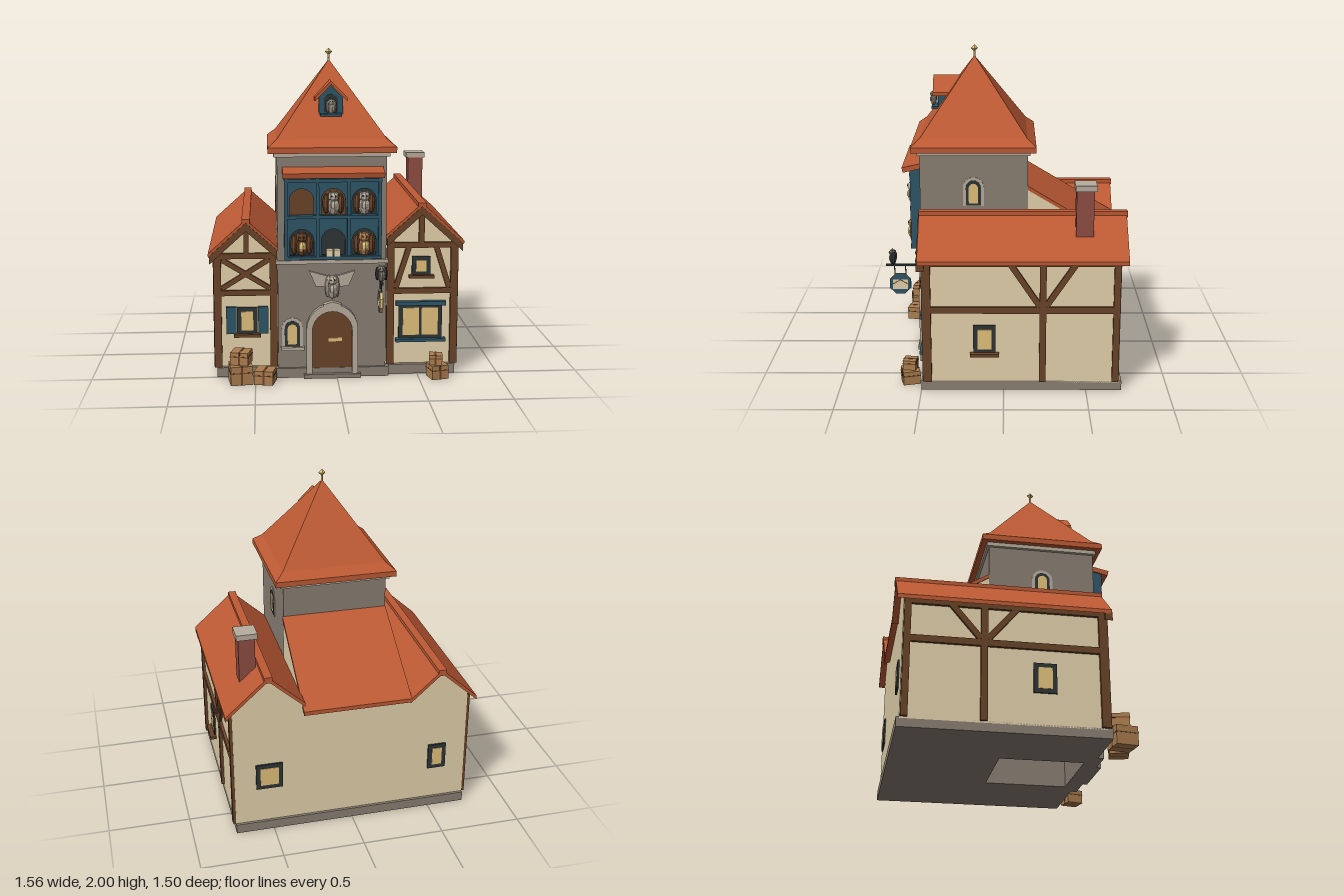
import * as THREE from 'three';

const mat = (name, color) => Object.assign(new THREE.MeshStandardMaterial({ color }), { name });
const M = {
  roof: mat('roof tile', 0xbd5a34), plaster: mat('plaster', 0xe4d2ab), timber: mat('timber', 0x6a4428),
  stone: mat('wall stone', 0x8a7f73), pale: mat('pale stone', 0xb8ad9d), teal: mat('teal paint', 0x2f5668),
  dark: mat('dark frame', 0x2e3536), gold: mat('lit glass', 0xe3c27c), brick: mat('brick', 0x8f4e42),
  crate: mat('crate wood', 0xab7d4e),
};

function add(parent, name, geo, m, x = 0, y = 0, z = 0) {
  const mesh = new THREE.Mesh(geo, m);
  mesh.name = name;
  mesh.position.set(x, y, z);
  parent.add(mesh);
  return mesh;
}
function group(parent, name, x = 0, y = 0, z = 0, ry = 0) {
  const g = new THREE.Group();
  g.name = name;
  g.position.set(x, y, z);
  g.rotation.y = ry;
  parent.add(g);
  return g;
}
// Box given by its limits on each axis
const block = (p, name, m, x0, x1, y0, y1, z0, z1) =>
  add(p, name, new THREE.BoxGeometry(x1 - x0, y1 - y0, z1 - z0), m, (x0 + x1) / 2, (y0 + y1) / 2, (z0 + z1) / 2);
function flat(geo) {
  const g = geo.toNonIndexed();
  g.computeVertexNormals();
  return g;
}
const poly = pts => new THREE.Shape(pts.map(p => new THREE.Vector2(...p)));
const rect = (x0, x1, y0, y1) => poly([[x0, y0], [x1, y0], [x1, y1], [x0, y1]]);
const extrude = (shape, depth) => new THREE.ExtrudeGeometry(shape, { depth, bevelEnabled: false, curveSegments: 6 });
// Upright ring wall from y = 0, with a rectangular hollow over the tower interior
function hollow(x0, x1, z0, z1, h) {
  const s = rect(x0, x1, -z1, -z0);
  s.holes.push(rect(-0.28, 0.22, -0.44, 0.07));
  return extrude(s, h).rotateX(-Math.PI / 2);
}
// Round-topped outline standing on (x, y)
function arch(w, h, x = 0, y = 0, Type = THREE.Shape) {
  const r = w / 2, s = new Type();
  s.moveTo(x - r, y);
  s.lineTo(x + r, y);
  s.lineTo(x + r, y + h - r);
  s.absarc(x, y + h - r, r, 0, Math.PI, false);
  s.lineTo(x - r, y);
  return s;
}
// Timber laid on a facade between two points
function beam(p, x1, y1, x2, y2, w = 0.04) {
  const b = add(p, 'timberBeam', new THREE.BoxGeometry(Math.hypot(x2 - x1, y2 - y1), w, 0.022), M.timber,
    (x1 + x2) / 2, (y1 + y2) / 2, 0.007);
  b.rotation.z = Math.atan2(y2 - y1, x2 - x1);
}
// Framed window with evenly divided panes, centred on (x, y)
function windowUnit(p, x, y, w, h, panes = 1, sill = M.timber) {
  const g = group(p, 'window', x, y, 0), f = 0.026, pw = (w - f * 2 - (panes - 1) * 0.016) / panes;
  block(g, 'windowFrame', M.dark, -w / 2, w / 2, -h / 2, h / 2, -0.01, 0.01);
  for (let i = 0; i < panes; i++) {
    const x0 = -w / 2 + f + i * (pw + 0.016);
    block(g, 'pane', M.gold, x0, x0 + pw, -h / 2 + f, h / 2 - f, 0.009, 0.013);
  }
  if (sill) block(g, 'sill', sill, -w / 2 - 0.02, w / 2 + 0.02, -h / 2 - 0.012, -h / 2 + 0.006, 0, 0.04);
}
// Arched stone window standing on its own base line
function archWindow(p, x, y, z, ry) {
  const g = group(p, 'archedWindow', x, y, z, ry);
  add(g, 'stoneSurround', extrude(arch(0.13, 0.185), 0.004), M.pale);
  add(g, 'frame', extrude(arch(0.094, 0.16, 0, 0.006), 0.002), M.dark, 0, 0, 0.004);
  add(g, 'pane', extrude(arch(0.058, 0.126, 0, 0.02), 0.002), M.gold, 0, 0, 0.006);
}
// Small faceted owl, one unit tall before scaling
function owl(p, x, y, z, s, body, wing, face = body, spread = 0.25) {
  const g = group(p, 'owl', x, y, z);
  g.scale.setScalar(s);
  const part = (name, m, r, px, py, pz, sx, sy, sz) =>
    add(g, name, flat(new THREE.SphereGeometry(r, 7, 5)), m, px, py, pz).scale.set(sx, sy, sz);
  part('body', body, 0.5, 0, 0.38, 0, 0.5, 0.78, 0.45);
  part('head', body, 0.5, 0, 0.77, 0.03, 0.44, 0.42, 0.42);
  part('belly', face, 0.5, 0, 0.42, 0.1, 0.32, 0.45, 0.33);
  for (const k of [-1, 1]) {
    part('wing', wing, 0.5, k * spread, 0.48, -0.06, spread, 0.86, 0.4);
    add(g, 'ear', flat(new THREE.ConeGeometry(0.08, 0.18, 4)), body, k * 0.14, 0.96, 0.03);
    part('eye', M.dark, 0.04, k * 0.08, 0.82, 0.22, 1, 1, 0.6);
  }
}
// Gabled roof cross-section
const chevron = (cx, top, x0, x1, k, t) => poly([
  [x0, top - k * (cx - x0) - t], [cx, top - t], [x1, top - k * (x1 - cx) - t],
  [x1, top - k * (x1 - cx)], [cx, top], [x0, top - k * (cx - x0)]]);

// Side wing: gabled plaster body, tiled roof and front barge boards
function wing(root, name, w0, w1, r0, r1, cx, top) {
  const g = group(root, name), t = 0.026, k = 0.9, yAt = x => top - k * Math.abs(x - cx) - t + 0.008;
  add(g, 'plasterWalls', extrude(poly([[w0, 0.05], [w1, 0.05], [w1, yAt(w1)], [cx, yAt(cx)], [w0, yAt(w0)]]), 1.17), M.plaster, 0, 0, -0.7);
  add(g, 'wingRoof', extrude(chevron(cx, top, r0, r1, k, t), 1.25), M.roof, 0, 0, -0.74);
  add(g, 'bargeBoards', extrude(chevron(cx, top - 0.02, r0 + 0.008, r1 - 0.008, k, 0.052), 0.045), M.timber, 0, 0, 0.471);
  block(g, 'ridgeCap', M.roof, cx - 0.025, cx + 0.025, top - 0.035, top + 0.002, -0.745, 0.512);
}
// Timber framing of a side wall; u runs along the wall
function sideFrame(root, x, ry, sign, top, sill) {
  const g = group(root, 'sideFraming', x, 0, 0, ry);
  const u = z => z * sign;
  for (const z of [0.455, -0.235, -0.676]) beam(g, u(z), 0.06, u(z), top);
  beam(g, u(0.47), 0.525, u(-0.69), 0.525);
  beam(g, u(0.47), top - 0.01, u(-0.69), top - 0.01);
  for (const k of [-1, 1]) beam(g, u(-0.235 + k * 0.02), 0.55, u(-0.235 + k * 0.205), top, 0.035);
  windowUnit(g, u(0.115), 0.335, 0.135, 0.18, 1, sill);
}
function crate(p, x, y, z, s, h, ry) {
  const g = group(p, 'crate', x, y, z, ry);
  block(g, 'crateBox', M.crate, -s / 2, s / 2, 0, h, -s / 2, s / 2);
  block(g, 'strap', M.timber, -0.006, 0.006, 0, h + 0.002, -s / 2 - 0.002, s / 2 + 0.002);
  block(g, 'crossStrap', M.timber, -s / 2 - 0.002, s / 2 + 0.002, h * 0.62, h * 0.62 + 0.006, -s / 2 - 0.002, s / 2 + 0.002);
}

export function createModel() {
  const root = new THREE.Group();
  root.name = 'townHouse';

  // Plinth and wings
  add(root, 'plinth', hollow(-0.735, 0.735, -0.717, 0.5, 0.06), M.stone);
  wing(root, 'leftWing', -0.735, -0.35, -0.78, -0.355, -0.55, 0.986);
  wing(root, 'rightWing', 0.305, 0.735, 0.3, 0.78, 0.52, 1.076);

  // Lean-to between the wings, profiled along the depth and extruded across
  const across = (pts, w) => extrude(poly(pts.map(([z, y]) => [-z, y])), w).rotateY(Math.PI / 2);
  add(root, 'rearWalls', across([[-0.7, 0.05], [-0.15, 0.05], [-0.15, 1.145], [-0.7, 0.815]], 0.66), M.plaster, -0.355);
  add(root, 'rearRoof', across([[-0.74, 0.791], [-0.15, 1.145], [-0.15, 1.17], [-0.74, 0.816]], 0.67), M.roof, -0.362);

  // Timber framing
  sideFrame(root, 0.735, Math.PI / 2, -1, 0.83, M.timber);
  sideFrame(root, -0.735, -Math.PI / 2, 1, 0.77, null);
  const front = group(root, 'frontFraming', 0, 0, 0.472);
  for (const [x, t] of [[-0.727, 0.77], [-0.385, 0.79], [0.332, 0.85], [0.727, 0.83]]) beam(front, x, 0.06, x, t, 0.046);
  for (const [x0, x1, y] of [[-0.74, -0.37, 0.527], [-0.74, -0.37, 0.757], [0.31, 0.74, 0.525], [0.31, 0.74, 0.812]]) beam(front, x0, y, x1, y, 0.034);
  beam(front, -0.7, 0.555, -0.41, 0.735, 0.03);
  beam(front, -0.7, 0.735, -0.41, 0.555, 0.03);
  for (const k of [-1, 1]) beam(front, 0.53 + k * 0.165, 0.545, 0.53 + k * 0.085, 0.8, 0.032);
  beam(front, -0.55, 0.77, -0.55, 0.92, 0.03);
  beam(front, 0.522, 0.82, 0.522, 1.0, 0.034);

  // Wing windows
  windowUnit(front, -0.548, 0.35, 0.125, 0.17);
  for (const x of [-0.645, -0.45]) block(front, 'shutter', M.teal, x - 0.031, x + 0.031, 0.27, 0.44, 0, 0.018);
  windowUnit(front, 0.522, 0.68, 0.115, 0.12);
  windowUnit(front, 0.52, 0.33, 0.27, 0.225, 2, M.teal);
  block(front, 'windowLintel', M.teal, 0.365, 0.675, 0.435, 0.46, 0, 0.035);
  const back = group(root, 'backWindows', 0, 0, -0.701, Math.PI);
  windowUnit(back, -0.52, 0.38, 0.165, 0.17, 1, null);
  windowUnit(back, 0.55, 0.36, 0.115, 0.17, 1, null);

  // Tower
  add(root, 'towerWalls', hollow(-0.36, 0.3, -0.15, 0.52, 1.37), M.stone);
  add(root, 'towerPlinth', hollow(-0.38, 0.32, -0.15, 0.537, 0.06), M.stone);
  const tower = group(root, 'tower', -0.03, 0, 0.185);
  block(tower, 'stringCourse', M.pale, -0.342, 0.342, 0.712, 0.735, 0.3, 0.347);
  block(tower, 'cornice', M.pale, -0.35, 0.35, 1.365, 1.395, -0.35, 0.35);
  const frustum = (name, r0, r1, y0, y1) => add(tower, name,
    flat(new THREE.CylinderGeometry(r1 * Math.SQRT2, r0 * Math.SQRT2, y1 - y0, 4).rotateY(Math.PI / 4)), M.roof, 0, (y0 + y1) / 2, 0);
  frustum('eaves', 0.385, 0.385, 1.39, 1.425);
  frustum('flaredRoof', 0.385, 0.33, 1.425, 1.47);
  frustum('spire', 0.33, 0.001, 1.47, 1.93);
  add(tower, 'finialRod', new THREE.CylinderGeometry(0.006, 0.008, 0.1, 6), M.gold, 0, 1.93, 0);
  add(tower, 'finialKnob', new THREE.OctahedronGeometry(0.023), M.gold, 0, 1.977, 0);
  archWindow(tower, 0.33, 1.04, 0.003, Math.PI / 2);
  archWindow(tower, -0.33, 1.04, 0.003, -Math.PI / 2);
  archWindow(tower, -0.243, 0.19, 0.335, 0);
  block(tower, 'windowSill', M.pale, -0.315, -0.17, 0.175, 0.195, 0.33, 0.365);

  // Dormer
  const dormer = group(tower, 'dormer');
  add(dormer, 'dormerWalls', extrude(poly([[-0.073, 1.6], [0.073, 1.6], [0.073, 1.71], [0, 1.785], [-0.073, 1.71]]), 0.22), M.teal, 0, 0, 0.01);
  add(dormer, 'dormerRoof', extrude(chevron(0, 1.81, -0.098, 0.098, 1, 0.022), 0.25), M.roof, 0, 0, 0.01);
  add(dormer, 'dormerOpening', extrude(arch(0.085, 0.11, 0, 1.62), 0.004), M.dark, 0, 0, 0.23);
  block(dormer, 'dormerSill', M.teal, -0.065, 0.065, 1.6, 1.615, 0.2, 0.272);
  owl(dormer, 0, 1.615, 0.262, 0.09, M.pale, M.stone);

  // Doorway
  const door = group(tower, 'doorway', 0, 0, 0.335);
  const surround = arch(0.315, 0.445, 0, 0.02);
  surround.holes.push(arch(0.245, 0.395, 0, 0.025, THREE.Path));
  add(door, 'doorSurround', extrude(surround, 0.035), M.pale);
  add(door, 'door', extrude(arch(0.245, 0.4, 0, 0.025), 0.015), M.timber);
  add(door, 'keystone', extrude(poly([[-0.045, 0.428], [0.045, 0.428], [0.055, 0.465], [0, 0.482], [-0.055, 0.465]]), 0.042), M.pale);
  block(door, 'letterSlot', M.gold, -0.022, 0.06, 0.228, 0.25, 0.012, 0.02);
  block(door, 'doorstep', M.stone, -0.175, 0.175, 0, 0.026, 0, 0.045);

  // Carved owl with spread wings above the door
  owl(tower, 0, 0.5, 0.365, 0.15, M.pale, M.pale, M.pale, 0.2);
  for (const k of [-1, 1]) {
    const pts = [[0.02, 0.57], [0.1, 0.575], [0.14, 0.67], [0.02, 0.635]].map(([x, y]) => [x * k, y]);
    add(tower, 'carvedWing', extrude(poly(pts), 0.018), M.pale, 0, 0, 0.335);
  }

  // Gallery of arched bays
  const gal = group(root, 'gallery', -0.025, 0, 0.52);
  const panel = rect(-0.285, 0.285, 0.76, 1.27);
  [-0.19, 0, 0.185].forEach((x, i) => [0.775, 1.02].forEach((y, j) => {
    const shuttered = j === 1 && i < 2;
    panel.holes.push(arch(0.145, 0.16, x, y, THREE.Path));
    block(gal, 'bayBack', shuttered ? M.timber : M.dark, x - 0.08, x + 0.08, y - 0.005, y + 0.175, 0.004, shuttered ? 0.03 : 0.012);
  }));
  add(gal, 'archPanel', extrude(panel, 0.015), M.teal, 0, 0, 0.035);
  for (const x of [-0.284, -0.095, 0.093, 0.28]) block(gal, 'galleryPost', M.teal, x - 0.01, x + 0.01, 0.755, 1.27, 0, 0.064);
  for (const y of [0.75, 1.0, 1.22]) block(gal, 'galleryShelf', M.teal, -0.294, 0.29, y, y + 0.02, 0, 0.068);
  const awning = block(gal, 'awning', M.roof, -0.303, 0.303, 1.262, 1.294, -0.02, 0.11);
  awning.rotation.x = 0.22;
  owl(gal, 0, 1.02, 0.055, 0.145, M.pale, M.timber, M.pale, 0.3);
  owl(gal, 0.185, 1.02, 0.055, 0.145, M.pale, M.timber, M.pale, 0.3);
  owl(gal, -0.19, 0.77, 0.055, 0.15, M.timber, M.timber, M.gold, 0.3);
  owl(gal, 0.185, 0.77, 0.055, 0.15, M.crate, M.timber, M.gold, 0.3);
  for (const x of [-0.023, 0.023]) block(gal, 'parcel', M.plaster, x - 0.02, x + 0.02, 0.77, 0.81, 0.03, 0.065);

  // Hanging sign on its bracket
  const sign = group(root, 'hangingSign', 0.252, 0, 0);
  block(sign, 'bracket', M.dark, -0.007, 0.007, 0.628, 0.642, 0.5, 0.75);
  for (const z of [0.625, 0.695]) block(sign, 'hanger', M.dark, -0.003, 0.003, 0.56, 0.63, z - 0.003, z + 0.003);
  add(sign, 'signBoard', flat(new THREE.CylinderGeometry(0.073, 0.073, 0.018, 8).rotateY(Math.PI / 8).rotateZ(Math.PI / 2)),
    [M.gold, M.teal, M.teal], 0, 0.51, 0.66);
  block(sign, 'envelope', M.plaster, -0.012, 0.012, 0.475, 0.54, 0.612, 0.708);
  for (const k of [-1, 1]) {
    const flap = add(sign, 'envelopeFold', new THREE.BoxGeometry(0.027, 0.005, 0.056), M.timber, 0, 0.523, 0.66 + k * 0.024);
    flap.rotation.x = k * 0.55;
  }
  owl(sign, 0, 0.64, 0.705, 0.1, M.stone, M.dark);

  // Chimney
  block(root, 'chimney', M.brick, 0.555, 0.655, 0.9, 1.24, -0.535, -0.43);
  block(root, 'chimneyCap', M.pale, 0.54, 0.668, 1.235, 1.27, -0.55, -0.422);

  // Crates by the front
  for (const c of [[-0.59, 0, 0.595, 0.135, 0.115, 0.14], [-0.585, 0.117, 0.585, 0.11, 0.078, -0.25], [-0.44, 0, 0.61, 0.115, 0.085, -0.22],
    [0.615, 0, 0.575, 0.105, 0.085, 0.25], [0.605, 0.087, 0.575, 0.08, 0.06, -0.15]]) crate(root, ...c);
  return root;
}
